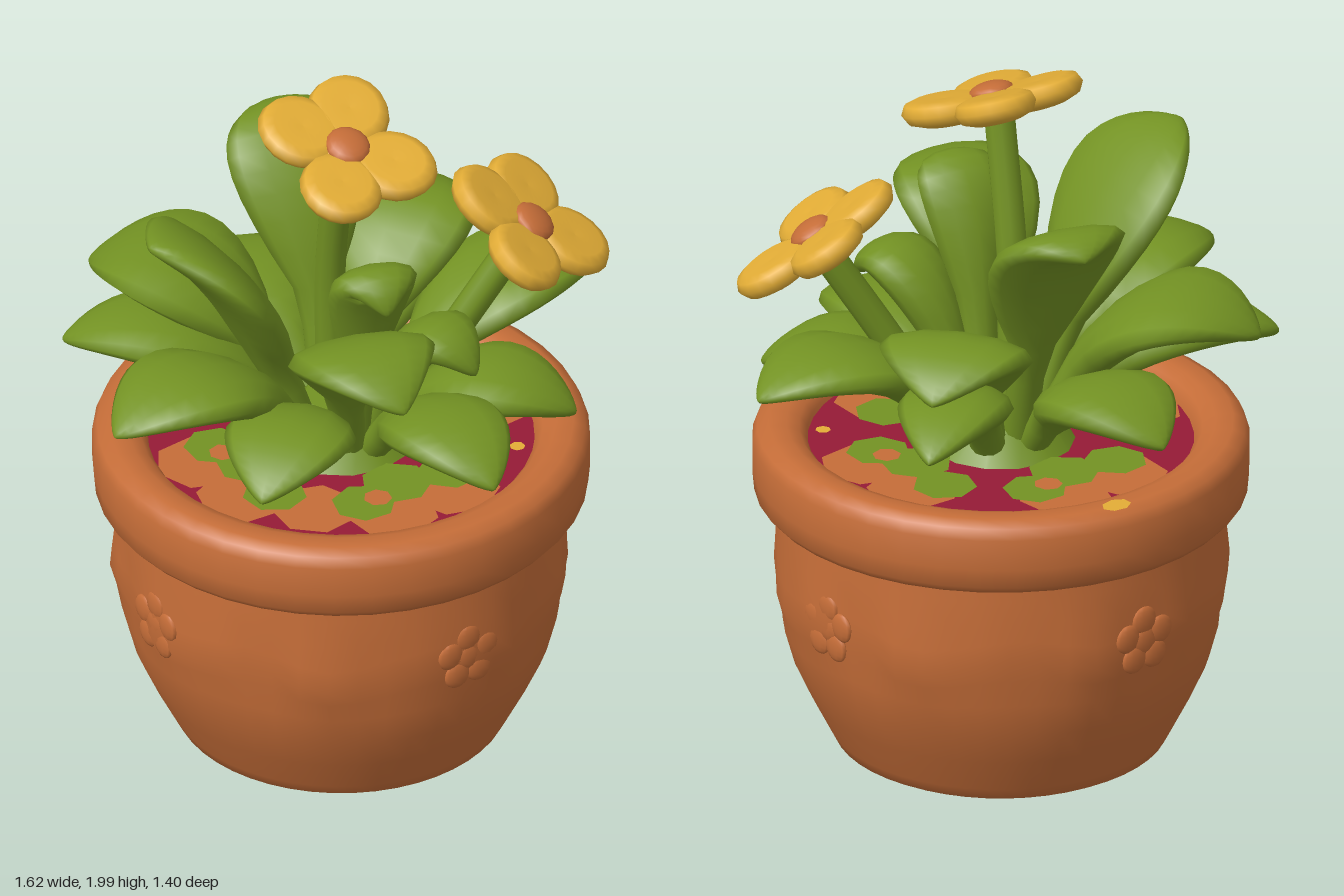
import * as THREE from 'three';
import { toCreasedNormals } from 'three/addons/utils/BufferGeometryUtils.js';

const V = (x, y, z) => new THREE.Vector3(x, y, z);

const mat = (name, color) => {
  const m = new THREE.MeshStandardMaterial({ color });
  m.name = name;
  return m;
};

function add(parent, name, geometry, material) {
  const m = new THREE.Mesh(geometry, material);
  m.name = name;
  parent.add(m);
  return m;
}

// Leaf: elliptical rings swept along an arching path, narrow stalk to broad blade
function leafGeometry([tx, ty, tz, width, lift = 0.28, bend = 0]) {
  const d = V(tx, 0, tz).normalize();
  const across = V(0, 1, 0).cross(d);
  const reach = Math.hypot(tx, tz);
  const curve = new THREE.QuadraticBezierCurve3(
    d.clone().multiplyScalar(0.09).setY(0.87),
    d.clone().multiplyScalar(0.09 + reach * 0.38).setY(0.9 + (ty - 0.9) * 0.65 + lift)
      .addScaledVector(across, bend),
    V(tx, ty, tz));
  const rings = 18, n = 12, pos = [], idx = [];
  for (let j = 0; j <= rings; j++) {
    const t = Math.sin((j / rings) * Math.PI / 2);
    const c = curve.getPoint(t), tangent = curve.getTangent(t);
    const side = V(0, 1, 0).cross(tangent).normalize();
    const up = tangent.cross(side).normalize();
    const s = Math.max(0, (t - 0.24) / 0.76);
    const blade = Math.pow(Math.max(0, Math.sin(Math.PI * Math.pow(s, 1.12))), 0.75);
    const a = 0.05 * (1 - s) + (width / 2) * blade + 0.001;
    const b = Math.min(a, 0.045 * (1 - s) + 0.038 * Math.sqrt(blade));
    for (let i = 0; i < n; i++) {
      const u = (i / n) * Math.PI * 2;
      const cup = 0.06 * a * Math.cos(u) ** 2 * s;
      const p = c.clone().addScaledVector(side, a * Math.cos(u))
        .addScaledVector(up, b * Math.sin(u) + cup);
      pos.push(p.x, p.y, p.z);
      if (j < rings) {
        const p0 = j * n + i, p1 = j * n + (i + 1) % n;
        idx.push(p0, p1, p0 + n, p1, p1 + n, p0 + n);
      }
    }
  }
  const g = new THREE.BufferGeometry();
  g.setAttribute('position', new THREE.Float32BufferAttribute(pos, 3));
  g.setIndex(idx);
  g.computeVertexNormals();
  return g;
}

// Petal: puffy disc with a flat top and rounded edge
const petalGeometry = () => new THREE.LatheGeometry([
  [0, -0.042], [0.07, -0.04], [0.108, -0.027], [0.124, 0], [0.113, 0.025], [0.085, 0.035], [0, 0.03],
].map(([x, y]) => new THREE.Vector2(x, y)), 18);

// Flower facing along its normal, petals at the given angles in degrees
function makeFlower(centre, normal, angles, petalMat, heartMat) {
  const flower = new THREE.Group();
  flower.name = 'flower';
  for (const angle of angles) {
    const pivot = new THREE.Group();
    pivot.name = 'petalPivot';
    pivot.rotation.y = THREE.MathUtils.degToRad(angle);
    const petal = add(pivot, 'petal', petalGeometry(), petalMat);
    petal.scale.z = 0.94;
    petal.position.set(0.136, 0, 0);
    petal.rotation.z = 0.06;
    flower.add(pivot);
  }
  const core = add(flower, 'flowerBase', new THREE.SphereGeometry(0.08, 14, 10), petalMat);
  core.scale.y = 0.45;
  const heart = add(flower, 'flowerHeart', new THREE.SphereGeometry(0.064, 14, 10), heartMat);
  heart.scale.y = 0.45;
  heart.position.y = 0.024;
  flower.position.copy(centre);
  flower.quaternion.setFromUnitVectors(V(0, 1, 0), normal.normalize());
  return flower;
}

export function createModel() {
  const terracotta = mat('terracotta', 0xc56d38);
  const green = mat('leafGreen', 0x739223);
  const yellow = mat('petalYellow', 0xe3ad36);
  const crimson = mat('soilCrimson', 0x951a36);
  const model = new THREE.Group();
  model.name = 'pottedPlant';

  // Pot body, with a worn, lumpy band round its middle
  const body = new THREE.LatheGeometry([
    [0, 0.012], [0.38, 0.006], [0.435, 0.008], [0.46, 0.022], [0.477, 0.055], [0.53, 0.16], [0.575, 0.26],
    [0.603, 0.36], [0.614, 0.43], [0.63, 0.49], [0.626, 0.55], [0.622, 0.62], [0.615, 0.69], [0.61, 0.77],
  ].map(([x, y]) => new THREE.Vector2(x, y)), 48);
  const bp = body.attributes.position;
  for (let i = 0; i < bp.count; i++) {
    const x = bp.getX(i), y = bp.getY(i), z = bp.getZ(i);
    const a = Math.atan2(z, x);
    const band = Math.exp(-(((y - 0.5) / 0.12) ** 2));
    const f = 1 + band * 0.01 * (Math.sin(a * 9) + Math.sin(a * 14 + 1) - 0.6);
    bp.setXYZ(i, x * f, y + band * 0.025 * Math.sin(a * 7 + 2), z * f);
  }
  add(model, 'potBody', toCreasedNormals(body, 0.9), terracotta);

  // Rolled rim and inner wall
  const rim = new THREE.LatheGeometry([
    [0.6, 0.742], [0.66, 0.742], [0.68, 0.765], [0.685, 0.82], [0.685, 0.91], [0.672, 0.94], [0.64, 0.956],
    [0.59, 0.954], [0.555, 0.94], [0.535, 0.915], [0.525, 0.86],
  ].map(([x, y]) => new THREE.Vector2(x, y)), 40);
  add(model, 'potRim', toCreasedNormals(rim, 0.9), terracotta);

  // Yellow fleck on the back of the rim
  const fleck = add(model, 'rimFleck', new THREE.CircleGeometry(0.045, 7), yellow);
  fleck.rotation.x = -Math.PI / 2;
  fleck.scale.y = 0.75;
  fleck.position.set(0.11, 0.96, -0.63);

  // Shallow embossed blossoms on the four sides of the pot
  for (let k = 0; k < 4; k++) {
    const boss = new THREE.Group();
    boss.name = 'embossedBlossom';
    boss.rotation.y = k * Math.PI / 2;
    for (let i = 0; i < 6; i++) {
      const a = i * Math.PI * 2 / 5 + Math.PI / 2, r = i < 5 ? 0.06 : 0;
      const bump = add(boss, 'bump', new THREE.SphereGeometry(0.042, 10, 8), terracotta);
      bump.scale.z = 0.3;
      bump.position.set(r * Math.cos(a), 0.51 + r * Math.sin(a), 0.617);
    }
    model.add(boss);
  }

  // Soil disc; orange and green patches gather towards the four sides
  const soil = add(model, 'soil', new THREE.CircleGeometry(0.54, 40), crimson);
  soil.rotation.x = -Math.PI / 2;
  soil.position.y = 0.9;
  const addPatch = (angle, r, size, y, material) => {
    const patch = add(model, 'soilPatch', new THREE.CircleGeometry(size, 7), material);
    patch.rotation.set(-Math.PI / 2, 0, angle * 3);
    patch.position.set(r * Math.cos(angle), y, r * Math.sin(angle));
  };
  for (let k = 0; k < 4; k++) {
    const a = k * Math.PI / 2;
    for (const s of [-1, 1]) {
      addPatch(a + s * 0.25, 0.41, 0.13, 0.903, terracotta);
      addPatch(a + s * 0.42, 0.35, 0.09, 0.906, green);
    }
    addPatch(a + 0.05, 0.29, 0.1, 0.908, green);
    addPatch(a + 0.3, 0.34, 0.04, 0.91, terracotta);
  }
  addPatch(2.36, 0.38, 0.12, 0.904, terracotta);
  addPatch(0.75, 0.49, 0.022, 0.912, yellow);

  // Crown where all the stalks meet
  const crown = add(model, 'crown', new THREE.CylinderGeometry(0.1, 0.22, 0.16, 14), green);
  crown.position.y = 0.96;

  // Leaves: tip x, y, z, blade width, then optional lift of the arch and sideways bend
  [
    [-0.6, 1.71, -0.06, 0.42, 0.22], [0.13, 1.66, -0.52, 0.35, 0.4], [-0.24, 1.42, 0.66, 0.36, 0.43, -0.12],
    [-0.1, 1.53, 0.37, 0.2, 0.5], [0.14, 1.29, 0.45, 0.2, 0.4], [0.57, 1.31, -0.39, 0.38, 0.38],
    [0.64, 1.18, -0.46, 0.26], [0.81, 1.23, 0.07, 0.34, 0.3], [0.44, 1.08, 0.5, 0.29],
    [0.03, 1.09, 0.7, 0.29, 0.27, 0.04], [-0.56, 1.12, 0.43, 0.31], [-0.81, 1.24, 0.08, 0.34, 0.32],
    [-0.62, 1.2, -0.45, 0.3], [-0.42, 1.3, -0.61, 0.43, 0.38], [0, 1.12, -0.7, 0.33],
  ].forEach((leaf) => add(model, 'leaf', leafGeometry(leaf), green));

  // Flower stems and flowers
  const stems = [
    [V(0.01, 0.88, -0.05), V(-0.01, 1.4, -0.04), V(-0.035, 1.87, 0.05)],
    [V(0.1, 0.88, 0.04), V(0.26, 1.2, 0.14), V(0.44, 1.52, 0.23)],
  ];
  stems.forEach((pts) => add(model, 'flowerStem',
    new THREE.TubeGeometry(new THREE.CatmullRomCurve3(pts), 12, 0.044, 10), green));
  model.add(makeFlower(V(-0.035, 1.892, 0.075), V(0, 0.94, 0.34), [55, 127, 231, 313], yellow, terracotta));
  model.add(makeFlower(V(0.455, 1.555, 0.25), V(0.4, 0.82, 0.4), [68, 140, 231, 338], yellow, terracotta));
  return model;
}
